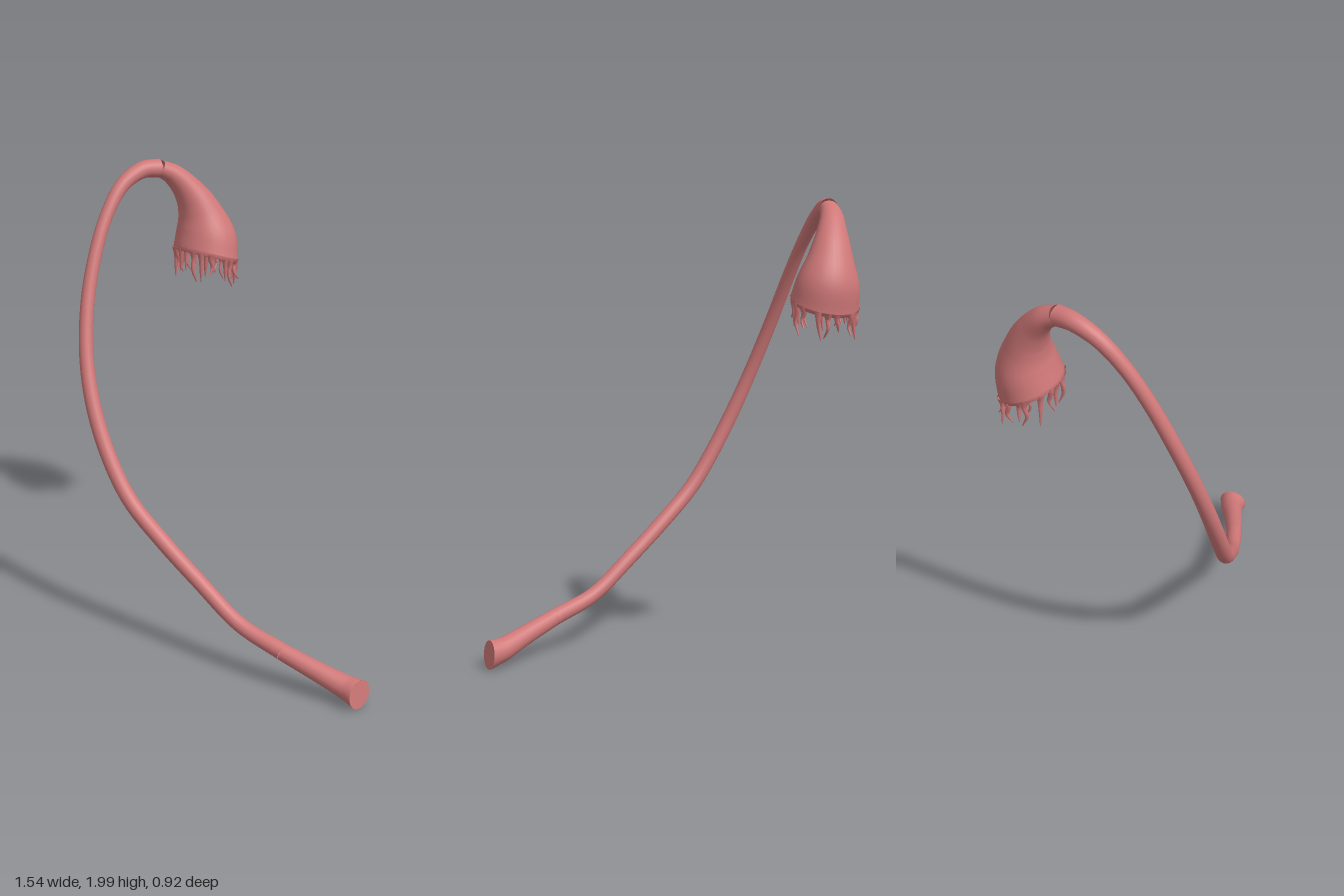
import * as THREE from 'three';

const V = (x, y, z) => new THREE.Vector3(x, y, z);
const material = new THREE.MeshStandardMaterial({ color: 0xd07878, side: THREE.DoubleSide });

// Sweeps a round section along a smooth path; each point is [x, y, z, radius].
// startDir / endDir tilt the cut ends, squash flattens the section across ref.
function sweep(name, points, { steps = 40, sides = 20, ref = V(1, 0, 1), squash = 1, startDir, endDir } = {}) {
  const path = new THREE.CatmullRomCurve3(points.map(p => V(p[0], p[1], p[2])));
  const size = new THREE.CatmullRomCurve3(points.map((p, i) => V(p[3], i, 0)));
  const pos = [], index = [];
  for (let i = 0; i <= steps; i++) {
    const t = i / steps;
    const c = path.getPoint(t), r = size.getPoint(t).x, T = path.getTangent(t);
    if (startDir) T.lerp(startDir, Math.max(0, 1 - 2.5 * t)).normalize();
    if (endDir) T.lerp(endDir, Math.max(0, 2 * t - 1)).normalize();
    const N = ref.clone().addScaledVector(T, -ref.dot(T)).normalize();
    const B = T.clone().cross(N);
    for (let j = 0; j < sides; j++) {
      const a = j / sides * Math.PI * 2;
      const p = c.clone().addScaledVector(N, r * Math.cos(a)).addScaledVector(B, r * squash * Math.sin(a));
      pos.push(p.x, p.y, p.z);
      if (i < steps) {
        const k = i * sides + j, l = i * sides + (j + 1) % sides;
        index.push(k, l, k + sides, k + sides, l, l + sides);
      }
    }
  }
  const geometry = new THREE.BufferGeometry();
  geometry.setAttribute('position', new THREE.Float32BufferAttribute(pos, 3));
  geometry.setIndex(index);
  geometry.computeVertexNormals();
  const mesh = new THREE.Mesh(geometry, material);
  mesh.name = name;
  return mesh;
}

export function createModel() {
  const model = new THREE.Group();
  model.name = 'curvedTube';

  // Short flared section at the lower end, closed by a flat disc
  const endNormal = V(1, 0.1, 0.1).normalize();
  model.add(sweep('flaredEnd', [
    [0.762, 0.067, 0.3, 0.063], [0.7, 0.08, 0.305, 0.052],
    [0.58, 0.117, 0.33, 0.043], [0.41, 0.17, 0.362, 0.037],
  ], { startDir: endNormal.clone().negate() }));
  const cap = new THREE.Mesh(new THREE.CircleGeometry(0.063, 20), material);
  cap.name = 'endCap';
  cap.position.set(0.762, 0.067, 0.3);
  cap.quaternion.setFromUnitVectors(V(0, 0, 1), endNormal);
  model.add(cap);

  // Long stem that rises and hooks over at the top
  model.add(sweep('stem', [
    [0.41, 0.17, 0.362, 0.037], [0.2, 0.238, 0.385, 0.033], [0, 0.378, 0.402, 0.033],
    [-0.2, 0.53, 0.42, 0.034], [-0.36, 0.67, 0.431, 0.034], [-0.475, 0.83, 0.425, 0.034],
    [-0.58, 1.03, 0.4, 0.033], [-0.655, 1.23, 0.355, 0.031], [-0.708, 1.45, 0.28, 0.03],
    [-0.733, 1.65, 0.19, 0.029], [-0.741, 1.8, 0.1, 0.029], [-0.735, 1.91, 0, 0.032],
    [-0.708, 1.958, -0.1, 0.037], [-0.672, 1.956, -0.172, 0.041],
  ], { steps: 90 }));

  // Bulb widening down to a tilted rim
  const tilt = -0.372, rx = 0.155, rz = 0.137;
  const rim = V(-0.54, 1.562, -0.322);
  const down = V(0, -Math.cos(tilt), -Math.sin(tilt));
  const across = V(0, -Math.sin(tilt), Math.cos(tilt));
  model.add(sweep('bulb', [
    [-0.672, 1.956, -0.172, 0.041], [-0.645, 1.92, -0.228, 0.052], [-0.608, 1.85, -0.279, 0.07],
    [-0.572, 1.75, -0.318, 0.102], [-0.548, 1.65, -0.335, 0.14], [rim.x, rim.y, rim.z, rx],
  ], { steps: 50, sides: 28, ref: V(1, 0, 0), squash: rz / rx, endDir: down }));

  // Narrow lip and hollow lining of the mouth
  const lining = new THREE.Mesh(new THREE.LatheGeometry([
    new THREE.Vector2(0, 0.07), new THREE.Vector2(0.35, 0.05), new THREE.Vector2(0.75, 0.02),
    new THREE.Vector2(0.94, -0.018), new THREE.Vector2(0.98, -0.015), new THREE.Vector2(1, 0),
  ], 28), material);
  lining.name = 'mouthLining';
  lining.position.copy(rim);
  lining.rotation.x = tilt;
  lining.scale.set(rx, 1, rz);
  model.add(lining);

  // Fringe of wavy tapering fingers around the mouth, in two rings
  const fringe = new THREE.Group();
  fringe.name = 'fringe';
  const wave = (i, k) => Math.sin(i * k + k);
  const addRing = (count, spread, length, thick) => {
    for (let i = 0; i < count; i++) {
      const a = (i + 0.25 * wave(i, 2.3)) / count * Math.PI * 2;
      const root = rim.clone().addScaledVector(down, 0.005)
        .add(V(rx * spread * Math.cos(a), 0, 0)).addScaledVector(across, rz * spread * Math.sin(a));
      const l = length * (1 + 0.22 * wave(i, 1.7)) * (1 + 0.15 * Math.sin(a));
      const sx = 0.016 * wave(i, 3.1), sz = 0.016 * wave(i, 4.7);
      const at = (f, x, z, r) => [root.x + x, root.y - l * f, root.z + z, r];
      fringe.add(sweep('finger', [
        at(0, 0, 0, thick), at(0.25, -sx * 0.3, sz * 0.2, thick * 0.6),
        at(0.6, sx * 0.3, -sz * 0.4, thick * 0.42), at(1, sx, sz, 0.002),
      ], { steps: 8, sides: 8, ref: V(1, 0, 0) }));
    }
  };
  addRing(17, 0.92, 0.11, 0.018);
  addRing(8, 0.62, 0.085, 0.013);
  model.add(fringe);
  return model;
}
